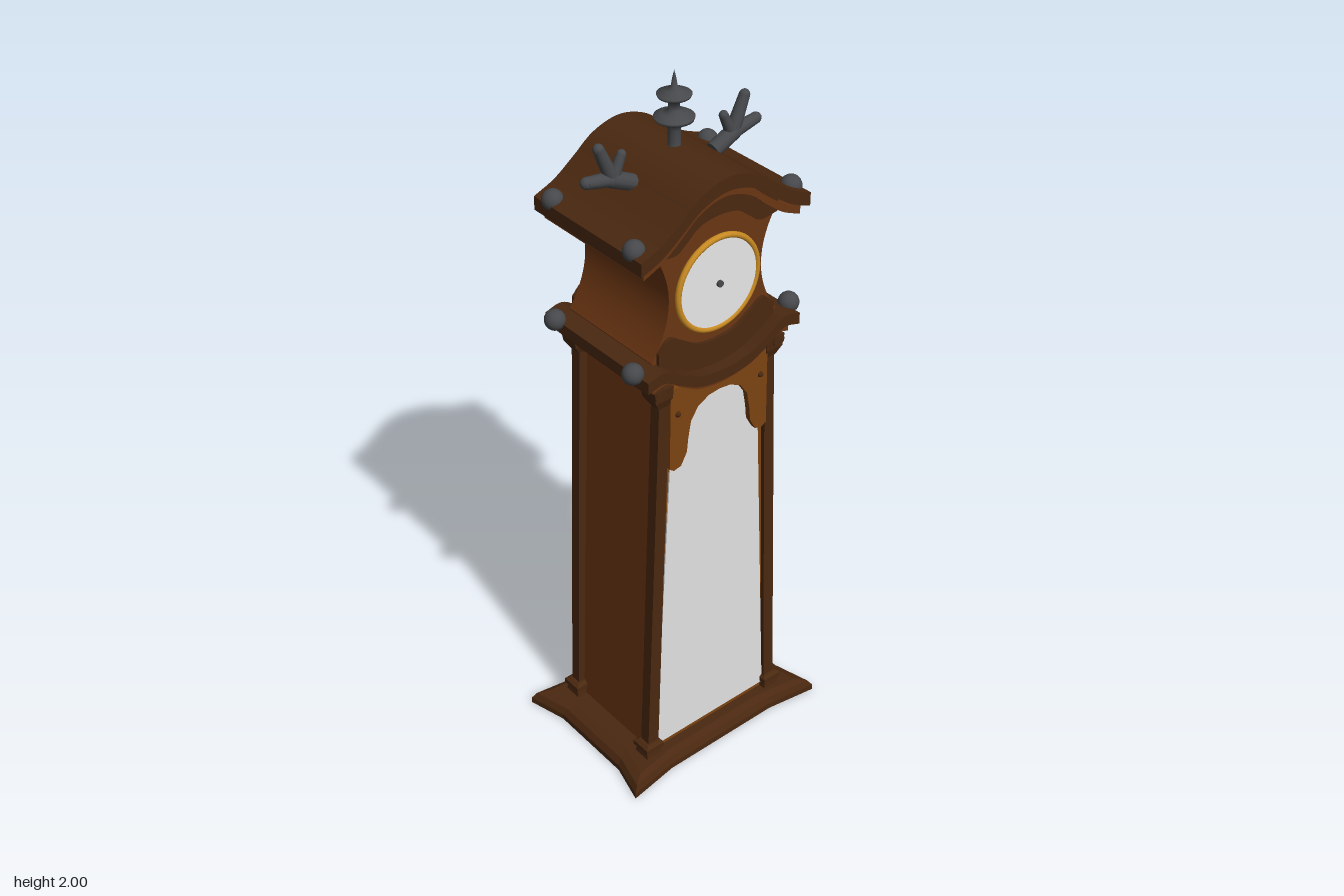
import * as THREE from 'three';
import { toCreasedNormals } from 'three/addons/utils/BufferGeometryUtils.js';

const material = (name, color) => {
  const m = new THREE.MeshStandardMaterial({ color });
  m.name = name;
  return m;
};

export function createModel() {
  const wood = material('wood', 0x6a3512);
  const darkWood = material('dark wood', 0x4a2810);
  const doorWood = material('door wood', 0x7c4211);
  const gold = material('gold', 0xc88a22);
  const glass = material('glass', 0xe2e2e2);
  const enamel = material('dial enamel', 0xf0f0f0);
  const iron = material('iron', 0x46484b);

  const clock = new THREE.Group();
  clock.name = 'longcaseClock';
  const add = (name, geometry, mat, x = 0, y = 0, z = 0) => {
    const mesh = new THREE.Mesh(geometry, mat);
    mesh.name = name;
    mesh.position.set(x, y, z);
    clock.add(mesh);
    return mesh;
  };

  // Skin rings of [x, y, z] points, listed counterclockwise from above, and cap both ends
  const loft = (rings) => {
    const out = [];
    const n = rings[0].length;
    const centre = (r) => [0, 1, 2].map((k) => r.reduce((s, p) => s + p[k], 0) / n);
    const first = rings[0], last = rings[rings.length - 1];
    const low = centre(first), high = centre(last);
    for (let i = 0; i < n; i++) {
      const j = (i + 1) % n;
      for (let r = 0; r < rings.length - 1; r++) {
        const a = rings[r], b = rings[r + 1];
        out.push(...a[i], ...a[j], ...b[j], ...a[i], ...b[j], ...b[i]);
      }
      out.push(...low, ...first[j], ...first[i], ...high, ...last[i], ...last[j]);
    }
    const g = new THREE.BufferGeometry();
    g.setAttribute('position', new THREE.Float32BufferAttribute(out, 3));
    g.computeVertexNormals();
    return g;
  };
  const rect = (x, y, z, hw, hd) => [
    [x + hw, y, z + hd], [x + hw, y, z - hd], [x - hw, y, z - hd], [x - hw, y, z + hd],
  ];

  // Flat outline extruded from z0 by depth
  const slab = (points, z0, depth) => {
    const shape = new THREE.Shape(points.map((p) => new THREE.Vector2(p[0], p[1])));
    const g = new THREE.ExtrudeGeometry(shape, { depth, bevelEnabled: false });
    g.translate(0, 0, z0);
    return toCreasedNormals(g, 0.5);
  };
  // Mirror a half line running from the centre outward, and smooth it
  const smoothLine = (half, n = 40) => {
    const pts = [...half.slice(1).reverse().map(([x, y]) => [-x, y]), ...half];
    return new THREE.CatmullRomCurve3(pts.map(([x, y]) => new THREE.Vector3(x, y, 0)))
      .getPoints(n).map((p) => [p.x, p.y]);
  };
  const band = (line, top, bottom, sx = 1) => [
    ...line.map(([x, y]) => [x * sx, y + bottom]),
    ...line.map(([x, y]) => [x * sx, y + top]).reverse(),
  ];

  // Plinth with flared corners and a recessed underside
  const quarter = [[0.305, 0.13], [0.335, 0.243], [0.185, 0.22]];
  const outline = [
    ...quarter.map(([x, z]) => [x, -z]),
    ...quarter.slice().reverse().map(([x, z]) => [-x, -z]),
    ...quarter.map(([x, z]) => [-x, z]),
    ...quarter.slice().reverse().map(([x, z]) => [x, z]),
  ];
  const plinthRings = [[0.84, 0.012], [0.84, 0], [1, 0], [1, 0.018], [0.96, 0.036], [0.87, 0.046]];
  add('plinth', loft(plinthRings.map(([s, y]) => outline.map(([x, z]) => [x * s, y, z * s]))), darkWood);

  // Tapering trunk and its corner posts
  add('trunk', loft([rect(0, 0.04, 0, 0.215, 0.155), rect(0, 1.3, 0, 0.16, 0.155)]), wood);
  for (const sx of [-1, 1]) {
    for (const sz of [-1, 1]) {
      const z = sz * 0.16;
      add('cornerPost', loft([
        rect(sx * 0.216, 0.08, z, 0.018, 0.016), rect(sx * 0.171, 1.27, z, 0.016, 0.016),
      ]), darkWood);
      add('postFoot', loft([
        rect(sx * 0.22, 0.044, z, 0.026, 0.026), rect(sx * 0.22, 0.066, z, 0.024, 0.024),
        rect(sx * 0.22, 0.07, z, 0.03, 0.03), rect(sx * 0.22, 0.084, z, 0.03, 0.03),
        rect(sx * 0.219, 0.092, z, 0.02, 0.02),
      ]), darkWood);
      add('postCapital', loft([
        rect(sx * 0.173, 1.225, z, 0.018, 0.018), rect(sx * 0.18, 1.25, z, 0.027, 0.026),
        rect(sx * 0.182, 1.285, z, 0.03, 0.028),
      ]), darkWood);
    }
    // Scroll under the moulding
    const scroll = add('scroll', new THREE.CylinderGeometry(0.018, 0.018, 0.38, 12), darkWood, sx * 0.192, 1.272, 0);
    scroll.rotation.x = Math.PI / 2;
  }

  // Door, its glass and the carved spandrel around the arched top
  add('door', slab([[-0.206, 0.045], [0.206, 0.045], [0.157, 1.27], [-0.157, 1.27]], 0.152, 0.012), doorWood);
  const arch = [[0.148, 1.02], [0.125, 1.025], [0.106, 1.06], [0.102, 1.1], [0.093, 1.15],
    [0.07, 1.185], [0.035, 1.203], [0, 1.207]];
  const archLine = [...arch, ...arch.slice(0, -1).reverse().map(([x, y]) => [-x, y])];
  add('doorGlass', slab([[-0.199, 0.062], [0.199, 0.062], ...archLine], 0.164, 0.004), glass);
  add('doorSpandrel', slab([[0.162, 1.03], [0.158, 1.27], [-0.158, 1.27], [-0.162, 1.03],
    ...archLine.slice().reverse()], 0.164, 0.02), doorWood);
  for (const sx of [-1, 1]) {
    add('spandrelStud', new THREE.SphereGeometry(0.008, 10, 8), darkWood, sx * 0.136, 1.19, 0.184);
  }

  // Hood case with waisted sides
  const roofLine = smoothLine([[0, 1.785], [0.08, 1.764], [0.14, 1.72], [0.2, 1.678], [0.262, 1.652]]);
  const sillLine = smoothLine([[0, 1.258], [0.08, 1.268], [0.14, 1.297], [0.195, 1.328], [0.245, 1.318]]);
  const waist = [];
  for (let i = 0; i <= 20; i++) {
    const t = i / 10 - 1;
    waist.push([0.146 + 0.054 * t * t, 1.51 + 0.155 * t]);
  }
  const within = (line) => line.filter(([x]) => Math.abs(x) < 0.19);
  add('hoodCase', slab([
    ...within(sillLine), ...waist, ...within(roofLine).reverse(),
    ...waist.slice().reverse().map(([x, y]) => [-x, y]),
  ], -0.162, 0.324), wood);

  // Crescent trims above and below the dial, front and back
  const upperEdge = smoothLine([[0, 1.695], [0.06, 1.685], [0.1, 1.655], [0.13, 1.635], [0.185, 1.64]]);
  const lowerEdge = smoothLine([[0, 1.35], [0.06, 1.358], [0.11, 1.388], [0.15, 1.41], [0.185, 1.38]]);
  for (const z of [0.162, -0.172]) {
    add('upperTrim', slab([...upperEdge, ...within(roofLine).reverse()], z, 0.01), darkWood);
    add('lowerTrim', slab([...within(sillLine), ...lowerEdge.slice().reverse()], z, 0.01), darkWood);
  }

  // Roof and lower moulding, each in two steps
  add('roof', slab(band(roofLine, 0.025, -0.012), -0.205, 0.41), darkWood);
  add('roofUnderMoulding', slab(band(roofLine, -0.012, -0.034, 0.93), -0.19, 0.38), wood);
  add('hoodSill', slab(band(sillLine, 0.022, -0.01), -0.205, 0.41), darkWood);
  add('hoodSillUnderMoulding', slab(band(sillLine, -0.008, -0.028, 0.9), -0.19, 0.38), wood);

  // Dial
  const dial = add('dial', new THREE.CylinderGeometry(0.124, 0.124, 0.014, 48), enamel, 0, 1.51, 0.168);
  dial.rotation.x = Math.PI / 2;
  add('dialRing', new THREE.TorusGeometry(0.125, 0.008, 10, 48), gold, 0, 1.51, 0.171);
  const hub = add('dialHub', new THREE.CylinderGeometry(0.009, 0.009, 0.008, 12), iron, 0, 1.51, 0.178);
  hub.rotation.x = Math.PI / 2;

  // Corner balls on the roof and the lower moulding
  for (const sx of [-1, 1]) {
    for (const sz of [-1, 1]) {
      for (const [x, y] of [[0.243, 1.682], [0.252, 1.346]]) {
        add('cornerBall', new THREE.SphereGeometry(0.028, 16, 12), iron, sx * x, y, sz * 0.155);
      }
    }
  }

  // Antlers
  const tine = (sx, [x0, y0], [x1, y1], r0, r1) => {
    const a = new THREE.Vector3(sx * x0, y0, 0.003), b = new THREE.Vector3(sx * x1, y1, 0.003);
    const dir = b.clone().sub(a);
    const g = new THREE.CylinderGeometry(r1, r0, dir.length(), 10);
    const m = add('antlerTine', g, iron, ...a.clone().add(b).multiplyScalar(0.5).toArray());
    m.quaternion.setFromUnitVectors(new THREE.Vector3(0, 1, 0), dir.normalize());
    add('antlerTip', new THREE.SphereGeometry(r1, 10, 8), iron, b.x, b.y, b.z);
  };
  for (const sx of [-1, 1]) {
    tine(sx, [0.125, 1.755], [0.19, 1.785], 0.021, 0.021);
    tine(sx, [0.19, 1.785], [0.26, 1.798], 0.019, 0.015);
    tine(sx, [0.185, 1.785], [0.222, 1.872], 0.019, 0.014);
    tine(sx, [0.18, 1.785], [0.156, 1.838], 0.015, 0.012);
  }

  // Turned finial
  const finial = [[0, 1.75], [0.022, 1.75], [0.022, 1.79], [0.016, 1.81], [0.016, 1.85], [0.022, 1.868],
    [0.048, 1.876], [0.05, 1.884], [0.03, 1.893], [0.014, 1.9], [0.014, 1.922], [0.04, 1.934],
    [0.043, 1.941], [0.02, 1.95], [0.008, 1.96], [0.005, 1.98], [0, 2]];
  const turned = new THREE.LatheGeometry(finial.map(([x, y]) => new THREE.Vector2(x, y)), 24);
  add('finial', turned, iron, 0.005);

  return clock;
}
